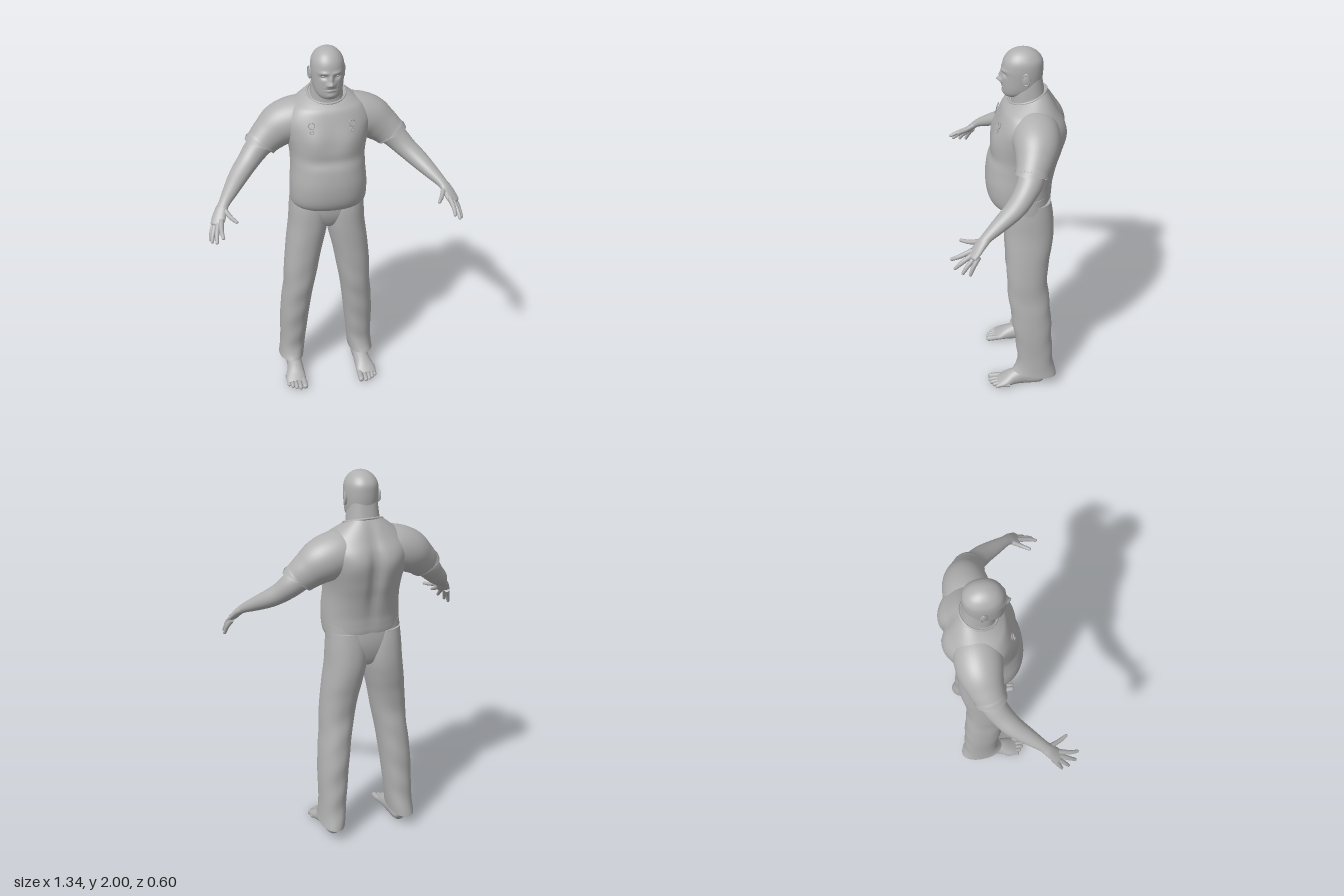
import * as THREE from 'three';

const grey = new THREE.MeshStandardMaterial({ color: 0xb0b0b0 });
grey.name = 'plainGrey';

// Catmull-Rom resampling of a table of rows, column by column
function smooth(rows, steps) {
  const out = [], last = rows.length - 1;
  for (let k = 0; k <= last * steps; k++) {
    const i = Math.min(Math.floor(k / steps), last - 1), t = k / steps - i;
    const at = (n) => rows[Math.max(0, Math.min(last, n))];
    out.push(rows[i].map((_, c) => {
      const a = at(i - 1)[c], b = at(i)[c], d = at(i + 1)[c], e = at(i + 2)[c];
      return b + 0.5 * t * (d - a + t * (2 * a - 5 * b + 4 * d - e + t * (3 * (b - d) + e - a)));
    }));
  }
  return out;
}

// Skin a list of closed rings, with sharp-edged caps on both ends
function skin(rings) {
  const pos = [], idx = [], n = rings[0].length;
  rings.forEach((r) => r.forEach((p) => pos.push(p.x, p.y, p.z)));
  for (let i = 0; i < rings.length - 1; i++) {
    for (let j = 0; j < n; j++) {
      const a = i * n + j, b = i * n + (j + 1) % n;
      idx.push(a, a + n, b, b, a + n, b + n);
    }
  }
  [rings[0], rings[rings.length - 1]].forEach((ring, end) => {
    const base = pos.length / 3, mid = new THREE.Vector3();
    ring.forEach((p) => { pos.push(p.x, p.y, p.z); mid.addScaledVector(p, 1 / n); });
    pos.push(mid.x, mid.y, mid.z);
    for (let j = 0; j < n; j++) {
      const a = base + j, b = base + (j + 1) % n;
      if (end) idx.push(a, base + n, b); else idx.push(a, b, base + n);
    }
  });
  const g = new THREE.BufferGeometry();
  g.setAttribute('position', new THREE.Float32BufferAttribute(pos, 3));
  g.setIndex(idx);
  g.computeVertexNormals();
  return g;
}

const spow = (v, e) => Math.sign(v) * Math.pow(Math.abs(v), e);

// Stack of level sections, bottom to top: [y, xMin, xMax, zFront, zBack, frontLift]
function stack(rows, { steps = 6, sides = 48, power = 2.3, rule } = {}) {
  return skin(smooth(rows, steps).map(([y, x0, x1, zf, zb, lift]) => {
    const ring = [];
    for (let j = 0; j < sides; j++) {
      const a = j / sides * Math.PI * 2;
      const c = spow(Math.cos(a), 2 / power), s = spow(Math.sin(a), 2 / power);
      const p = new THREE.Vector3((x0 + x1) / 2 + c * (x1 - x0) / 2, y + lift * s, (zf + zb) / 2 + s * (zf - zb) / 2);
      if (rule) rule(p, s);
      ring.push(p);
    }
    return ring;
  }));
}
const sym = (rows) => rows.map(([y, w, zf, zb, lift = 0]) => [y, -w, w, zf, zb, lift]);

// Limb along a path: [x, y, z, widthRadius, heightRadius]; tip rounds the far end
function limb(rows, { steps = 6, sides = 24, tip = 0, rule } = {}) {
  const list = smooth(rows, steps);
  const pts = list.map((r) => new THREE.Vector3(r[0], r[1], r[2]));
  const dirs = pts.map((p, i) => pts[Math.min(i + 1, pts.length - 1)].clone().sub(pts[Math.max(i - 1, 0)]).normalize());
  if (tip) {
    const e = pts.length - 1, r = list[e];
    for (const a of [0.3, 0.6, 0.85, 0.97, 1]) {
      pts.push(pts[e].clone().addScaledVector(dirs[e], tip * a));
      dirs.push(dirs[e]);
      const k = Math.sqrt(1 - a * a) + 0.02;
      list.push([0, 0, 0, r[3] * k, r[4] * k]);
    }
  }
  return skin(pts.map((p, i) => {
    const side = dirs[i].clone().cross(new THREE.Vector3(0, 1, 0)).normalize();
    const up = side.clone().cross(dirs[i]);
    return Array.from({ length: sides }, (_, j) => {
      const a = j / sides * Math.PI * 2;
      const q = p.clone().addScaledVector(side, Math.cos(a) * list[i][3]).addScaledVector(up, Math.sin(a) * list[i][4]);
      if (rule) rule(q);
      return q;
    });
  }));
}

function mirrored(g) {
  const m = g.clone().scale(-1, 1, 1), ix = m.index.array;
  for (let i = 0; i < ix.length; i += 3) [ix[i], ix[i + 1]] = [ix[i + 1], ix[i]];
  m.computeVertexNormals();
  return m;
}

const bump = (a, b) => Math.exp(-a * a - b * b);

export function createModel() {
  const model = new THREE.Group();
  model.name = 'standingMan';
  const add = (name, g) => {
    const m = new THREE.Mesh(g, grey);
    m.name = name;
    model.add(m);
  };
  const pair = (name, g) => {
    add(name + 'Left', g);
    add(name + 'Right', mirrored(g));
  };

  // Shirt body with belly overhang, spine groove, shoulder blades and chest
  add('shirt', stack(sym([
    [1.14, 0.19, 0.0, -0.225, -0.02], [1.165, 0.2, 0.07, -0.232, -0.025], [1.21, 0.203, 0.104, -0.235, -0.02],
    [1.28, 0.202, 0.115, -0.24], [1.37, 0.196, 0.106, -0.26], [1.45, 0.2, 0.09, -0.283], [1.55, 0.222, 0.072, -0.298],
    [1.62, 0.23, 0.05, -0.287], [1.68, 0.195, 0.026, -0.256], [1.72, 0.145, 0.004, -0.225, -0.015], [1.748, 0.1, -0.012, -0.197, -0.03],
  ]), {
    sides: 80, power: 2.35, rule: (p, s) => {
      const x = Math.abs(p.x);
      if (s < 0) p.z += 0.025 * bump(x / 0.03, (p.y - 1.5) / 0.2) - 0.01 * bump((x - 0.1) / 0.06, (p.y - 1.57) / 0.08);
      else p.z += 0.01 * bump((x - 0.09) / 0.06, (p.y - 1.53) / 0.07) - 0.008 * bump(x / 0.16, (p.y - 1.43) / 0.03);
    },
  }));
  const collar = Array.from({ length: 24 }, (_, i) => {
    const a = i / 24 * Math.PI * 2;
    return new THREE.Vector3(0.099 * Math.cos(a), 1.748 - 0.03 * Math.sin(a), -0.104 + 0.094 * Math.sin(a));
  });
  add('collar', new THREE.TubeGeometry(new THREE.CatmullRomCurve3(collar, true), 64, 0.006, 8, true));

  // Sleeves, with a slightly flared hem
  pair('sleeve', limb([
    [0.06, 1.605, -0.13, 0.11, 0.11], [0.15, 1.6, -0.135, 0.122, 0.118], [0.235, 1.57, -0.135, 0.115, 0.115],
    [0.3, 1.525, -0.122, 0.095, 0.096], [0.342, 1.488, -0.108, 0.083, 0.085], [0.348, 1.482, -0.106, 0.085, 0.087],
  ], { sides: 40 }));

  // Small raised rings on the chest
  for (const s of [-1, 1]) {
    [[0, 0.016], [-0.032, 0.009]].forEach(([dy, r]) => {
      const g = new THREE.TorusGeometry(r, 0.003, 6, 20);
      g.rotateX(-0.25).rotateY(s * 0.25).translate(s * 0.105, 1.627 + dy, 0.044 - dy * 0.3);
      add('chestRing', g);
    });
  }

  // Trousers: pelvis plus two straight loose legs
  add('trouserSeat', stack(sym([
    [0.975, 0.03, -0.05, -0.16], [1.0, 0.11, -0.02, -0.2], [1.06, 0.19, 0.005, -0.223], [1.13, 0.2, 0.012, -0.232], [1.22, 0.198, 0.01, -0.225],
  ])));
  pair('trouserLeg', stack([
    [0.085, 0.138, 0.275, -0.03, -0.268, 0.02], [0.13, 0.132, 0.27, -0.043, -0.258, 0.012], [0.22, 0.122, 0.265, -0.05, -0.246, 0],
    [0.35, 0.108, 0.265, -0.033, -0.24, 0], [0.5, 0.09, 0.256, -0.013, -0.232, 0], [0.6, 0.075, 0.244, 0, -0.222, 0],
    [0.7, 0.056, 0.241, 0.006, -0.212, 0], [0.81, 0.036, 0.232, 0.01, -0.22, 0], [0.9, 0.015, 0.222, 0.014, -0.235, 0],
    [1.0, -0.005, 0.209, 0.016, -0.244, 0], [1.1, -0.01, 0.203, 0.014, -0.238, 0], [1.18, 0.01, 0.195, 0.0, -0.225, 0],
  ], {
    power: 2.2, rule: (p, s) => { p.z += 0.004 * s * Math.sin(p.y * 38 + p.x * 22) * Math.max(0, 1 - p.y); },
  }));

  // Bare feet
  const ground = (p) => { p.y = Math.max(p.y, 0); };
  pair('ankle', stack([
    [0.04, 0.155, 0.24, -0.055, -0.18, 0], [0.1, 0.16, 0.24, -0.065, -0.18, 0], [0.2, 0.16, 0.24, -0.08, -0.18, 0],
  ], { sides: 24, power: 2 }));
  pair('foot', limb([
    [0.197, 0.035, -0.207, 0.015, 0.018], [0.197, 0.04, -0.195, 0.033, 0.036], [0.197, 0.045, -0.16, 0.042, 0.047],
    [0.197, 0.05, -0.09, 0.043, 0.056], [0.2, 0.041, -0.03, 0.048, 0.046], [0.207, 0.027, 0.02, 0.057, 0.03], [0.208, 0.016, 0.06, 0.054, 0.016],
  ], { sides: 32, rule: ground }));
  [[0.165, 0.1, 0.016], [0.192, 0.105, 0.011], [0.214, 0.096, 0.011], [0.234, 0.082, 0.011], [0.252, 0.065, 0.011]].forEach(([x, z, r]) =>
    pair('toe', limb([[x + 0.003, 0.022, z - 0.07, r, r], [x, 0.019, z - 0.025, r, r], [x, r, z, r, r]],
      { steps: 4, sides: 12, tip: r, rule: ground })));

  // Arms, palms and fingers
  pair('arm', limb([
    [0.29, 1.53, -0.118, 0.07, 0.07], [0.37, 1.46, -0.098, 0.066, 0.064], [0.425, 1.405, -0.06, 0.058, 0.054],
    [0.475, 1.362, -0.012, 0.053, 0.047], [0.53, 1.315, 0.062, 0.041, 0.036], [0.568, 1.282, 0.115, 0.031, 0.026], [0.59, 1.258, 0.147, 0.028, 0.02],
  ], { sides: 32 }));
  pair('palm', limb([
    [0.572, 1.278, 0.12, 0.028, 0.023], [0.592, 1.255, 0.148, 0.033, 0.02], [0.61, 1.222, 0.177, 0.037, 0.017], [0.622, 1.202, 0.196, 0.035, 0.013],
  ], { tip: 0.012 }));
  const fingers = {
    thumb: [[0.58, 1.26, 0.145], [0.552, 1.238, 0.205], [0.527, 1.232, 0.248]],
    indexFinger: [[0.598, 1.22, 0.195], [0.605, 1.192, 0.255], [0.601, 1.174, 0.295]],
    middleFinger: [[0.613, 1.21, 0.19], [0.628, 1.172, 0.245], [0.633, 1.142, 0.28]],
    ringFinger: [[0.624, 1.205, 0.178], [0.645, 1.16, 0.22], [0.654, 1.128, 0.242]],
    littleFinger: [[0.63, 1.203, 0.165], [0.65, 1.16, 0.191], [0.66, 1.122, 0.207]],
  };
  for (const [name, path] of Object.entries(fingers)) {
    const radii = [0.0135, 0.0115, 0.0085];
    pair(name, limb(path.map((p, i) => [...p, radii[i], radii[i]]), { steps: 4, sides: 12, tip: 0.009 }));
  }

  // Neck and bald head; the face is shaped by smooth bumps and hollows
  add('neck', stack(sym([
    [1.68, 0.095, -0.02, -0.21], [1.74, 0.086, -0.02, -0.193], [1.79, 0.08, -0.02, -0.184], [1.85, 0.072, -0.04, -0.174],
  ])));
  add('head', stack(sym([
    [1.747, 0.025, 0.004, -0.06], [1.753, 0.045, 0.014, -0.09], [1.77, 0.065, 0.021, -0.13], [1.8, 0.077, 0.025, -0.165],
    [1.85, 0.083, 0.026, -0.177], [1.9, 0.085, 0.026, -0.18], [1.94, 0.08, 0.017, -0.176], [1.97, 0.063, -0.003, -0.155],
    [1.988, 0.042, -0.028, -0.128], [1.997, 0.022, -0.053, -0.103], [2, 0.004, -0.074, -0.082],
  ]), {
    steps: 10, sides: 128, power: 2.15, rule: (p, s) => {
      if (s <= 0) return;
      const x = Math.abs(p.x), y = p.y;
      p.z += 0.025 * bump(x / 0.014, (y - 1.836) / 0.013) + 0.014 * bump(x / 0.011, (y - 1.862) / 0.02)
        + 0.01 * bump((x - 0.016) / 0.008, (y - 1.831) / 0.009)
        - 0.014 * bump((x - 0.034) / 0.017, (y - 1.872) / 0.011) + 0.007 * bump((x - 0.033) / 0.025, (y - 1.893) / 0.009)
        + 0.006 * bump(x / 0.022, (y - 1.815) / 0.005) + 0.006 * bump(x / 0.02, (y - 1.802) / 0.005)
        - 0.006 * bump(x / 0.028, (y - 1.8085) / 0.003) + 0.005 * bump(x / 0.025, (y - 1.772) / 0.012);
    },
  }));
  pair('eye', new THREE.SphereGeometry(0.011, 16, 12).scale(1.2, 0.75, 1).translate(0.034, 1.873, 0.0));
  pair('ear', new THREE.SphereGeometry(1, 20, 14).scale(0.009, 0.032, 0.019).rotateY(-0.25).translate(0.086, 1.863, -0.088));
  pair('earRim', new THREE.TorusGeometry(0.02, 0.0045, 8, 24).scale(0.85, 1.45, 1).rotateY(Math.PI / 2 - 0.3).translate(0.09, 1.865, -0.09));

  return model;
}
